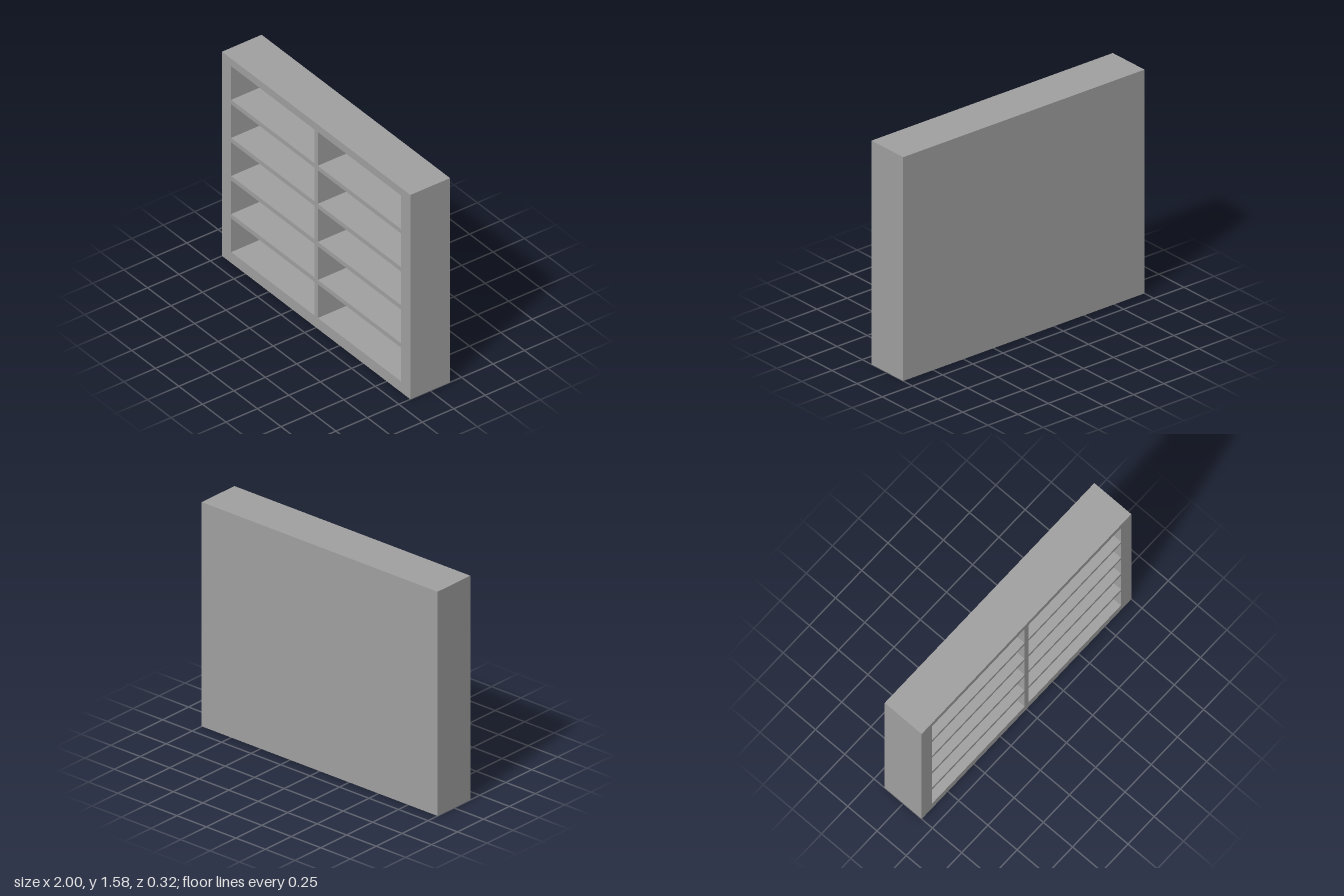
import * as THREE from 'three';

const WIDTH = 2, HEIGHT = 1.583, DEPTH = 0.316, BACK = 0.022;
const COLUMNS = 2, ROWS = 5;
const CELL_W = 0.885, CELL_H = 0.261;      // opening of one compartment
const PITCH_X = 0.92, PITCH_Y = 0.295;     // spacing of compartments
const FIRST_Y = 0.084;                     // floor of the lowest row

// Adds a rectangle to a shape or path, from its lower left corner
function rectangle(path, x, y, w, h) {
  path.moveTo(x, y);
  path.lineTo(x + w, y);
  path.lineTo(x + w, y + h);
  path.lineTo(x, y + h);
  path.closePath();
  return path;
}

export function createModel() {
  const group = new THREE.Group();
  group.name = 'shelfUnit';
  const grey = new THREE.MeshStandardMaterial({ color: 0xa0a0a0 });
  grey.name = 'grey';

  // Frame, shelves and divider in one piece, pierced by the compartments
  const outline = rectangle(new THREE.Shape(), -WIDTH / 2, 0, WIDTH, HEIGHT);
  for (let c = 0; c < COLUMNS; c++) {
    for (let r = 0; r < ROWS; r++) {
      const x = (c - (COLUMNS - 1) / 2) * PITCH_X - CELL_W / 2;
      const y = FIRST_Y + r * PITCH_Y;
      outline.holes.push(rectangle(new THREE.Path(), x, y, CELL_W, CELL_H));
    }
  }
  const frame = new THREE.Mesh(
    new THREE.ExtrudeGeometry(outline, { depth: DEPTH - BACK, bevelEnabled: false }), grey);
  frame.name = 'frameAndShelves';
  frame.position.z = -DEPTH / 2 + BACK;
  group.add(frame);

  // Closed back
  const back = new THREE.Mesh(new THREE.BoxGeometry(WIDTH, HEIGHT, BACK), grey);
  back.name = 'backPanel';
  back.position.set(0, HEIGHT / 2, -DEPTH / 2 + BACK / 2);
  group.add(back);

  return group;
}
